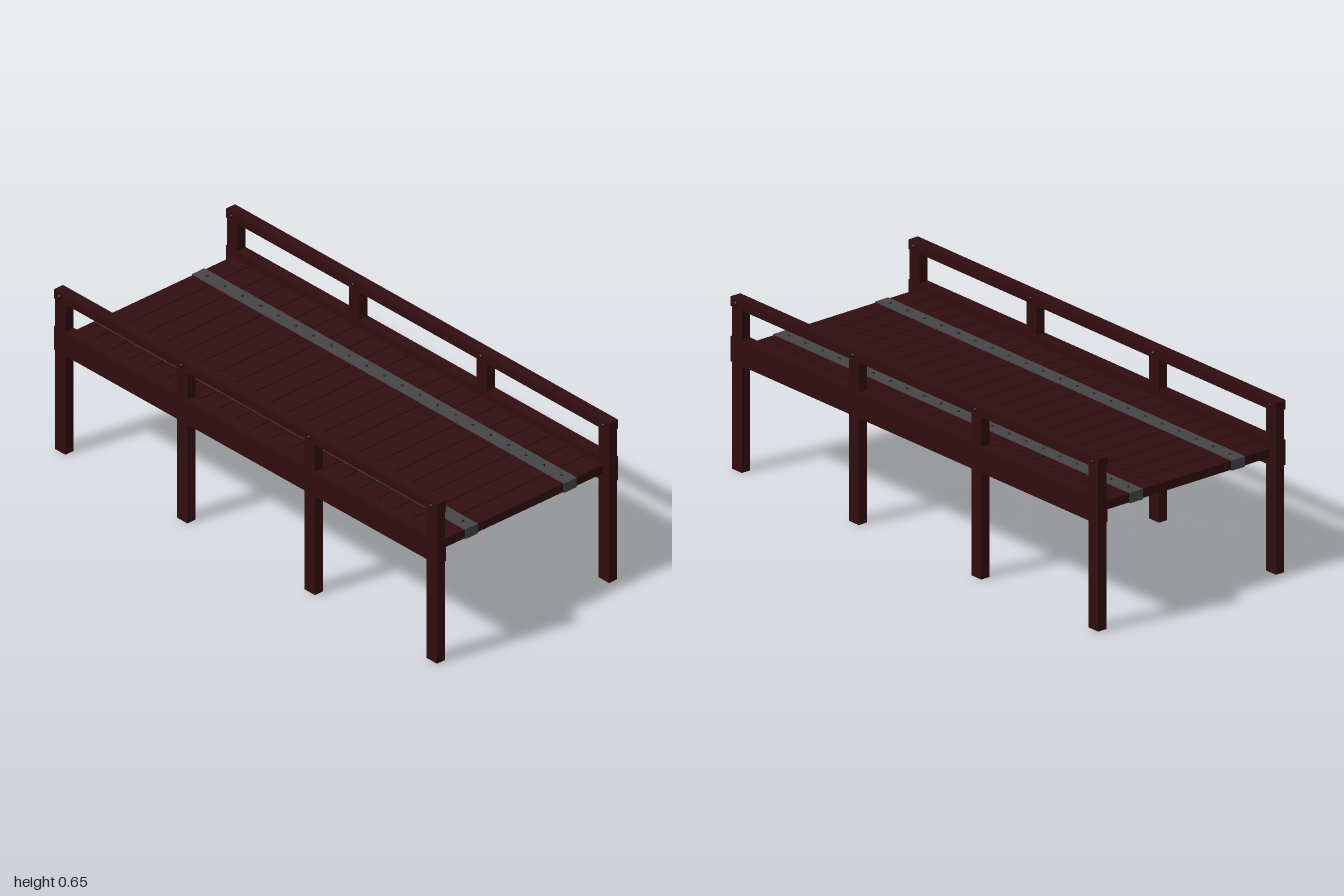
import * as THREE from 'three';

export function createModel() {
  const model = new THREE.Group();
  const material = (name, color) => {
    const m = new THREE.MeshStandardMaterial({ color });
    m.name = name;
    return m;
  };
  const wood = material('dark red wood', 0x300d10);
  const iron = material('grey iron', 0x454545);
  const dark = material('dark nail', 0x160809);

  const add = (name, geometry, mat, x, y, z) => {
    const mesh = new THREE.Mesh(geometry, mat);
    mesh.name = name;
    mesh.position.set(x, y, z);
    model.add(mesh);
    return mesh;
  };
  const box = (name, mat, w, h, d, x, y, z) =>
    add(name, new THREE.BoxGeometry(w, h, d), mat, x, y, z);

  const postXs = [-0.97, -0.333, 0.333, 0.97];
  const boltGeometry = new THREE.SphereGeometry(0.008, 10, 8);
  const nailGeometry = new THREE.SphereGeometry(0.006, 8, 4, 0, Math.PI * 2, 0, Math.PI / 2);

  // Posts, side beams and handrails on both sides
  for (const side of [1, -1]) {
    const z = side * 0.41;
    for (const x of postXs) {
      box('post', wood, 0.054, 0.64, 0.038, x, 0.32, z);
      for (const face of [1, -1]) add('railBolt', boltGeometry, dark, x, 0.638, z + face * 0.022);
    }
    box('sideBeam', wood, 2, 0.096, 0.044, 0, 0.456, z);
    box('handrail', wood, 2, 0.036, 0.044, 0, 0.637, z);
  }

  // Deck planks with narrow open gaps
  const count = 21, pitch = 1.94 / count;
  const plankX = (i) => (i - (count - 1) / 2) * pitch;
  for (let i = 0; i < count; i++) {
    box('plank', wood, pitch - 0.005, 0.034, 0.776, plankX(i), 0.455, 0);
  }

  // Iron straps around the deck, one nail per plank
  for (const z of [0.24, -0.23]) {
    box('strap', iron, 1.942, 0.04, 0.06, 0, 0.455, z);
    for (let i = 0; i < count; i++) add('nail', nailGeometry, dark, plankX(i), 0.474, z);
  }
  return model;
}
